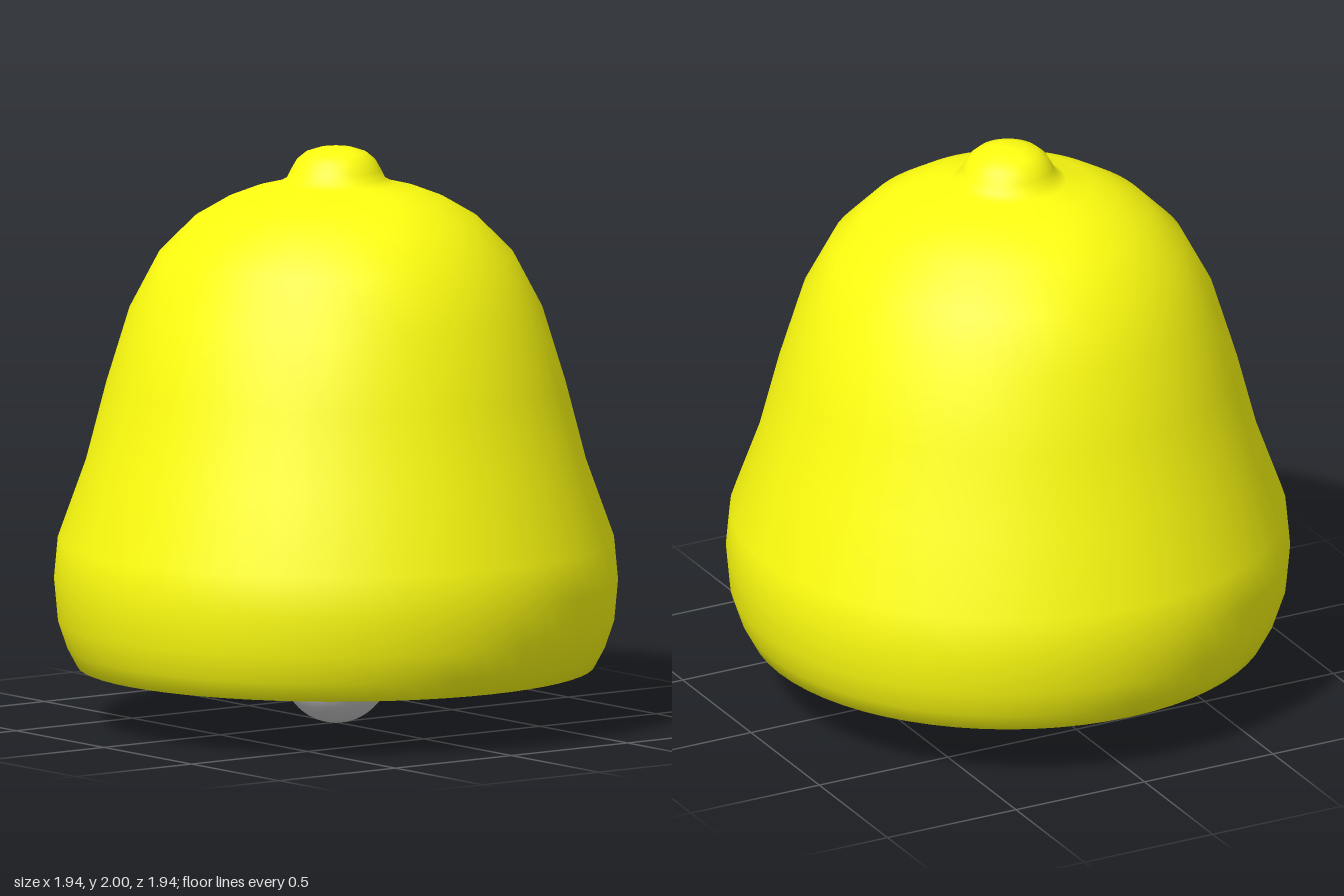
import * as THREE from 'three';

const SEGMENTS = 64;

function lathe(name, points, color) {
  const geometry = new THREE.LatheGeometry(points.map(([r, y]) => new THREE.Vector2(r, y)), SEGMENTS);
  const mesh = new THREE.Mesh(geometry, new THREE.MeshStandardMaterial({ color }));
  mesh.name = name;
  return mesh;
}

export function createModel() {
  const group = new THREE.Group();
  group.name = 'bell';

  // Outer wall, from the inner lip round the rim and up to the crown knob
  group.add(lathe('bellShell', [
    [0.845, 0.23], [0.865, 0.2], [0.89, 0.2], [0.925, 0.265], [0.957, 0.36], [0.97, 0.5],
    [0.957, 0.64], [0.86, 0.91], [0.79, 1.18], [0.71, 1.44], [0.61, 1.63],
    [0.49, 1.75], [0.38, 1.815], [0.29, 1.85], [0.2, 1.872], [0.17, 1.89],
    [0.155, 1.92], [0.135, 1.955], [0.105, 1.98], [0.06, 1.995], [0, 2],
  ], 0xffff10));

  // Inner wall, listed downwards so that it faces the cavity
  group.add(lathe('bellLining', [
    [0, 1.8], [0.2, 1.79], [0.36, 1.74], [0.46, 1.68], [0.56, 1.58],
    [0.65, 1.41], [0.73, 1.16], [0.8, 0.9], [0.89, 0.62], [0.9, 0.5],
    [0.885, 0.36], [0.845, 0.23],
  ], 0x10dff0));

  // Clapper: a rod hanging from the crown with a ball at its end
  const grey = new THREE.MeshStandardMaterial({ color: 0xcccccc });
  const rod = new THREE.Mesh(new THREE.CylinderGeometry(0.036, 0.036, 1.5, 24), grey);
  rod.name = 'clapperRod';
  rod.position.y = 1.06;
  const ball = new THREE.Mesh(new THREE.SphereGeometry(0.185, 40, 24), grey);
  ball.name = 'clapperBall';
  ball.position.y = 0.19;
  ball.position.y = 0.185;
  group.add(rod, ball);

  return group;
}
